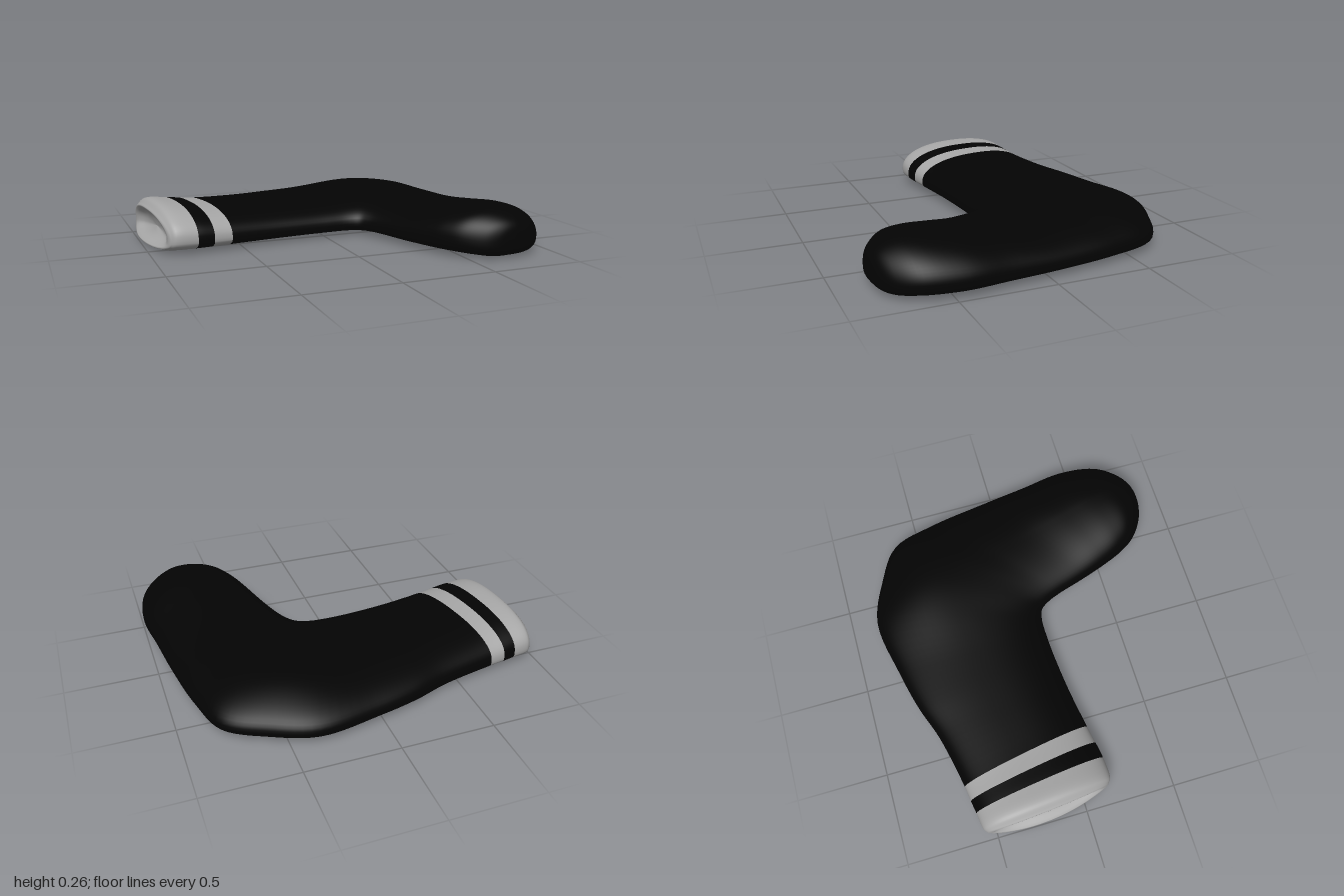
import * as THREE from 'three';

// Sections from cuff to toe:
// heel-side edge x, z | instep-side edge x, z | top y, bottom y
const SECTIONS = [
  [-0.968, -0.545, -0.905, 0.145, 0.20, 0.012],
  [-0.942, -0.565, -0.875, 0.165, 0.234, 0.002],
  [-0.855, -0.578, -0.76, 0.163, 0.228, 0],
  [-0.785, -0.59, -0.67, 0.15, 0.218, 0],
  [-0.70, -0.602, -0.57, 0.133, 0.208, 0],
  [-0.40, -0.667, -0.35, 0.10, 0.197, 0],
  [-0.20, -0.738, -0.15, 0.08, 0.195, 0],
  [0.03, -0.795, 0.00, 0.072, 0.197, 0],
  [0.36, -0.848, 0.12, 0.075, 0.205, 0],
  [0.60, -0.765, 0.18, 0.095, 0.21, 0],
  [0.80, -0.64, 0.215, 0.14, 0.21, 0],
  [0.88, -0.40, 0.25, 0.22, 0.205, 0],
  [0.935, -0.08, 0.30, 0.38, 0.207, 0],
  [0.97, 0.20, 0.35, 0.53, 0.232, 0],
  [1.00, 0.44, 0.40, 0.65, 0.253, 0.002],
  [0.97, 0.65, 0.46, 0.74, 0.25, 0.006],
  [0.90, 0.76, 0.55, 0.81, 0.215, 0.012],
  [0.82, 0.818, 0.62, 0.836, 0.175, 0.04],
  [0.71, 0.843, 0.71, 0.843, 0.11, 0.11],
];
const SIDES = 64;
const STEPS = 6;
// Shallow hollow of the cuff, innermost first: scale of the rim, depth
const HOLLOW = [[0.001, 0.045], [0.3, 0.043], [0.55, 0.034], [0.7, 0.02], [0.8, 0.004], [0.9, -0.006], [0.96, -0.006]];

const last = SECTIONS.length - 1;
const edge = (ix, iz, iy) => new THREE.CatmullRomCurve3(
  SECTIONS.map((s) => new THREE.Vector3(s[ix], s[iy], s[iz])));
const heelEdge = edge(0, 1, 4);
const instepEdge = edge(2, 3, 5);

const { smoothstep } = THREE.MathUtils;
const power = (v, e) => Math.sign(v) * Math.abs(v) ** e;

// One closed ring: domed on top, flatter underneath
function ring(s) {
  const a = heelEdge.getPoint(s / last);
  const b = instepEdge.getPoint(s / last);
  const top = a.y, bottom = Math.max(0, b.y);
  const mid = bottom + 0.35 * (top - bottom);
  const bulge = Math.max(0, 1 - s / 2);
  // the outer side slopes more gently towards heel and toe
  const slope = 0.85 + 0.11 * smoothstep(s, 4, 8) + 0.12 * smoothstep(s, 10, 13);
  const points = [];
  for (let j = 0; j < SIDES; j++) {
    const t = (j / SIDES) * Math.PI * 2;
    const up = Math.sin(t) >= 0;
    const e = up ? (Math.cos(t) > 0 ? slope : 0.88) : 0.7;
    const u = power(Math.cos(t), e);
    const v = power(Math.sin(t), e);
    const x = (a.x + b.x) / 2 + u * (a.x - b.x) / 2;
    const z = (a.z + b.z) / 2 + u * (a.z - b.z) / 2;
    // soft rise over the heel
    const heel = up ? 0.03 * v * Math.exp(-(((x - 0.45) / 0.28) ** 2) - ((z + 0.57) / 0.25) ** 2) : 0;
    // the cuff mouth bows outward, most at its lower lip
    const bow = bulge * (1 - u * u) * (up ? 0.052 - 0.03 * v : 0.052);
    points.push(new THREE.Vector3(x - bow, mid + v * (up ? top - mid : mid - bottom) + heel, z));
  }
  return points;
}

export function createModel() {
  const rows = [];

  // Inside of the cuff
  const rim = ring(0);
  const centre = rim.reduce((c, p) => c.add(p), new THREE.Vector3()).divideScalar(SIDES);
  for (const [scale, depth] of HOLLOW) {
    rows.push(rim.map((p) => {
      const q = centre.clone().lerp(p, scale);
      q.x += depth;
      return q;
    }));
  }

  // Outside, cuff to toe
  for (let i = 0; i <= last * STEPS; i++) rows.push(ring(i / STEPS));

  const skin = new THREE.BufferGeometry().setFromPoints(rows.flat());
  const indexRows = (from, to) => {
    const index = [];
    for (let i = from; i < to; i++) {
      for (let j = 0; j < SIDES; j++) {
        const k = (j + 1) % SIDES;
        const a = i * SIDES + j, b = i * SIDES + k;
        index.push(a, b, a + SIDES, b, b + SIDES, a + SIDES);
      }
    }
    return index;
  };
  skin.setIndex(indexRows(0, rows.length - 1));
  skin.computeVertexNormals();

  // Coloured bands share the skin's points, so shading runs on smoothly
  const pale = new THREE.MeshStandardMaterial({ color: 0xa6a6a6 });
  const black = new THREE.MeshStandardMaterial({ color: 0x030303 });
  const row = (section) => HOLLOW.length + section * STEPS;
  const group = new THREE.Group();
  group.name = 'sock';
  const bands = [
    ['cuff', 0, row(2), pale],
    ['darkStripe', row(2), row(3), black],
    ['paleStripe', row(3), row(4), pale],
    ['legAndFoot', row(4), row(last), black],
  ];
  for (const [name, from, to, material] of bands) {
    const geometry = new THREE.BufferGeometry();
    geometry.setAttribute('position', skin.getAttribute('position'));
    geometry.setAttribute('normal', skin.getAttribute('normal'));
    geometry.setIndex(indexRows(from, to));
    const mesh = new THREE.Mesh(geometry, material);
    mesh.name = name;
    group.add(mesh);
  }
  return group;
}
